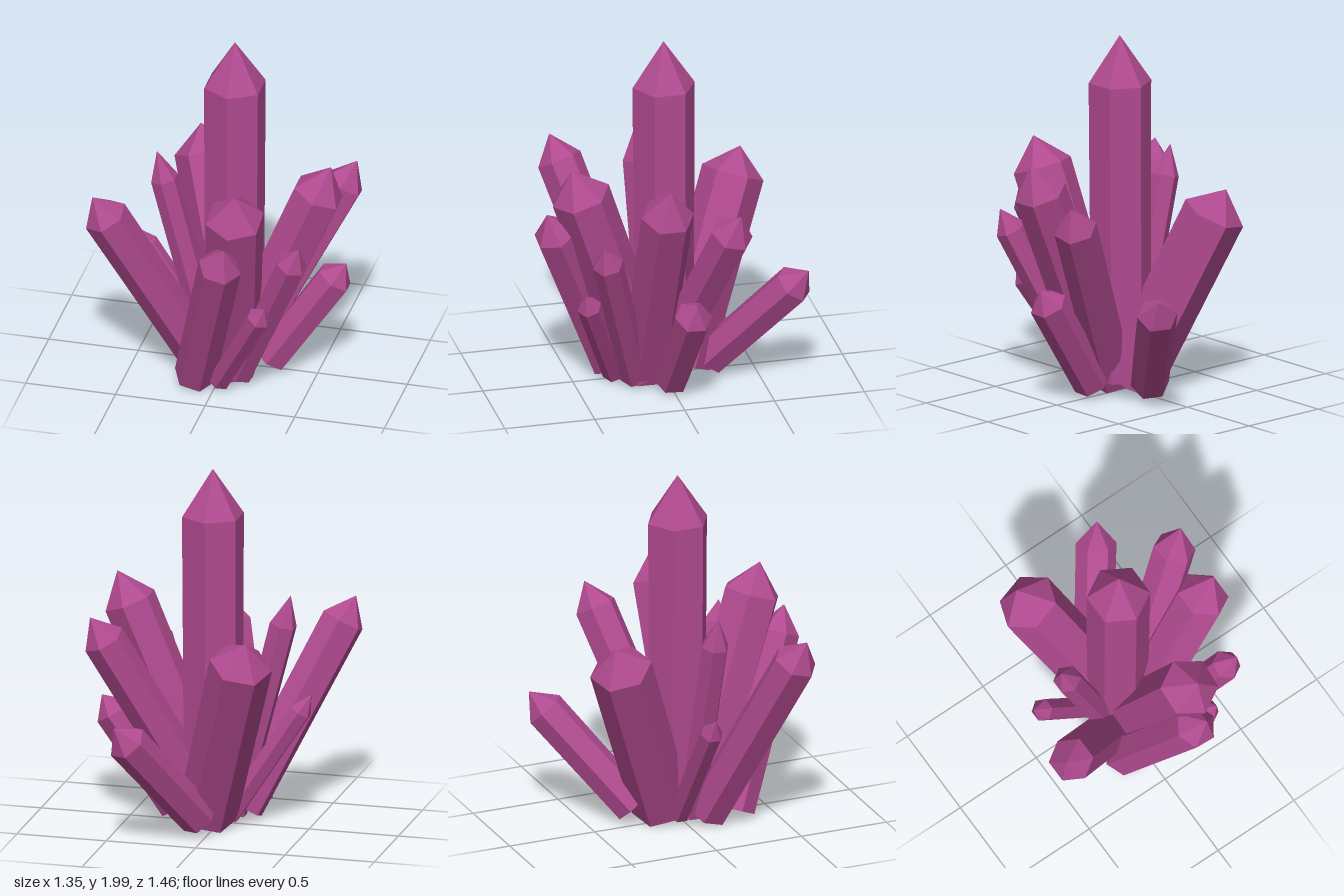
import * as THREE from 'three';

// One entry per crystal: name, base centre, tip, radius, length of the pointed end, twist
const CRYSTALS = [
  ['centralCrystal', [0.035, 0.08, 0], [0.04, 2.0, 0.005], 0.173, 0.26, 0],
  ['frontLargeCrystal', [0.05, 0.07, 0.11], [0.18, 1.35, 0.55], 0.163, 0.17, 0],
  ['backLeftLargeCrystal', [0.045, 0.08, -0.09], [-0.28, 1.18, -0.5], 0.172, 0.15, -0.3],
  ['leftTallCrystal', [-0.07, 0.06, 0.04], [-0.38, 1.3, 0.065], 0.077, 0.17, 0],
  ['rightLargeCrystal', [0.06, 0.07, 0.11], [0.6, 1.355, 0.1], 0.146, 0.18, 0],
  ['backRightTallCrystal', [0.07, 0.07, 0.03], [0.65, 1.195, -0.28], 0.118, 0.15, 0],
  ['frontLeftCrystal', [-0.1, 0.07, 0.12], [-0.635, 1.2, 0.475], 0.124, 0.15, 0],
  ['frontCrystal', [-0.115, 0.06, 0.27], [0.15, 1.09, 0.68], 0.12, 0.15, 0.5],
  ['backRightLowCrystal', [0.05, 0.1, -0.25], [0.4, 0.715, -0.715], 0.111, 0.13, 0],
  ['rightLowCrystal', [0.24, 0.08, 0.01], [0.65, 0.69, -0.035], 0.104, 0.11, 0],
  ['frontRightCrystal', [0.11, 0.06, 0.18], [0.51, 1.02, 0.45], 0.085, 0.13, 0],
  ['frontSmallCrystal', [0.02, 0.05, 0.275], [0.335, 0.66, 0.51], 0.068, 0.09, 0],
  ['leftSmallCrystal', [-0.06, 0.06, -0.03], [-0.515, 0.77, -0.005], 0.063, 0.11, 0],
];

const UP = new THREE.Vector3(0, 1, 0);

// Six-sided, slightly tapered prism with a flat base and a pointed end
function makeCrystal([name, base, tip, radius, point, twist], material) {
  const start = new THREE.Vector3(...base);
  const axis = new THREE.Vector3(...tip).sub(start);
  const length = axis.length();
  const profile = [
    new THREE.Vector2(0, 0),
    new THREE.Vector2(radius * 0.95, 0),
    new THREE.Vector2(radius, length - point),
    new THREE.Vector2(0, length),
  ];
  const geometry = new THREE.LatheGeometry(profile, 6);
  geometry.rotateY(twist);
  const mesh = new THREE.Mesh(geometry, material);
  mesh.name = name;
  mesh.position.copy(start);
  mesh.quaternion.setFromUnitVectors(UP, axis.normalize());
  return mesh;
}

export function createModel() {
  const group = new THREE.Group();
  group.name = 'crystalCluster';
  const material = new THREE.MeshStandardMaterial({ color: 0xb04a8f, flatShading: true });
  material.name = 'magenta crystal';
  for (const crystal of CRYSTALS) group.add(makeCrystal(crystal, material));
  return group;
}
